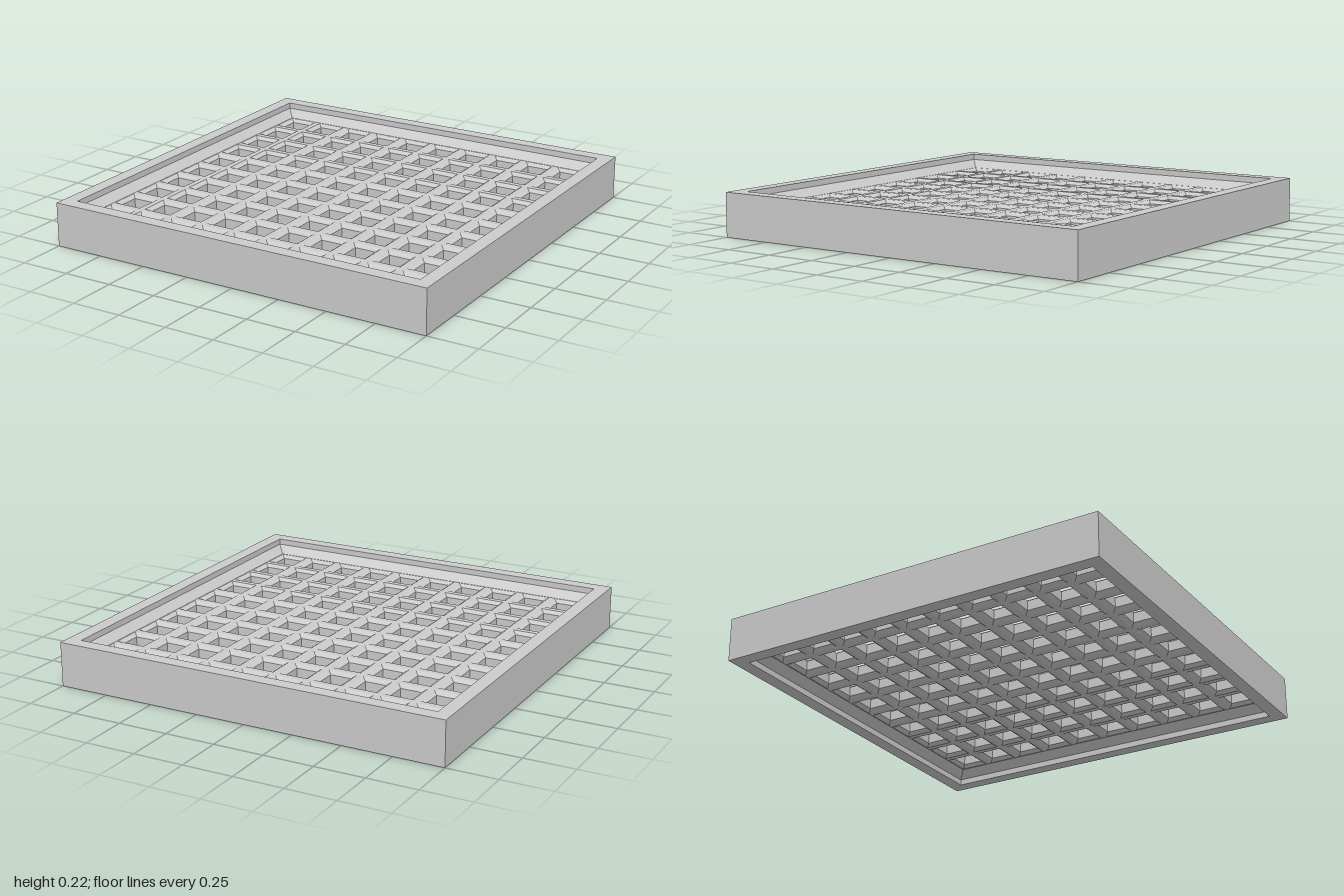
import * as THREE from 'three';
import { mergeGeometries } from 'three/addons/utils/BufferGeometryUtils.js';

const COUNT = 10, PITCH = 0.18;
const TOP = 0.15, BOTTOM = 0.07;      // grid plate faces
const INNER = 0.89;                   // half width of the grid plate
const MOUTH = 0.075, THROAT = 0.053;  // half widths of a hole at its face and inside

// Square ring swept from a [half width, y] profile
function squareLoft(profile) {
  const points = profile.map(([h, y]) => new THREE.Vector2(h * Math.SQRT2, y));
  const g = new THREE.LatheGeometry(points, 4, Math.PI / 4).toNonIndexed();
  g.computeVertexNormals();
  return g;
}

function squarePath(path, cx, cy, h) {
  path.moveTo(cx - h, cy - h);
  path.lineTo(cx + h, cy - h);
  path.lineTo(cx + h, cy + h);
  path.lineTo(cx - h, cy + h);
  path.closePath();
  return path;
}

export function createModel() {
  const group = new THREE.Group();
  const material = new THREE.MeshStandardMaterial({ color: 0xcccccc, flatShading: true });
  const add = (geometry, name) => {
    const mesh = new THREE.Mesh(geometry, material);
    mesh.name = name;
    group.add(mesh);
  };

  // Outer frame with a sloped lip above and below the grid
  add(squareLoft([
    [1, 0], [1, 0.22], [0.93, 0.22], [0.93, 0.19], [INNER, TOP],
    [INNER, BOTTOM], [0.93, 0.03], [0.93, 0], [1, 0],
  ]), 'frame');

  // Hole centres
  const centres = [];
  for (let i = 0; i < COUNT; i++) {
    for (let j = 0; j < COUNT; j++) {
      centres.push([(i - (COUNT - 1) / 2) * PITCH, (j - (COUNT - 1) / 2) * PITCH]);
    }
  }

  // Flat faces of the grid, top and bottom
  const face = squarePath(new THREE.Shape(), 0, 0, INNER);
  for (const [x, z] of centres) face.holes.push(squarePath(new THREE.Path(), x, z, MOUTH));
  add(new THREE.ShapeGeometry(face).rotateX(-Math.PI / 2).translate(0, TOP, 0), 'gridTop');
  add(new THREE.ShapeGeometry(face).rotateX(Math.PI / 2).translate(0, BOTTOM, 0), 'gridUnderside');

  // Bevelled walls of every hole
  const hole = squareLoft([
    [MOUTH, TOP], [THROAT, TOP - 0.015], [THROAT, BOTTOM + 0.015], [MOUTH, BOTTOM],
  ]);
  add(mergeGeometries(centres.map(([x, z]) => hole.clone().translate(x, 0, z))), 'gridHoles');

  return group;
}
